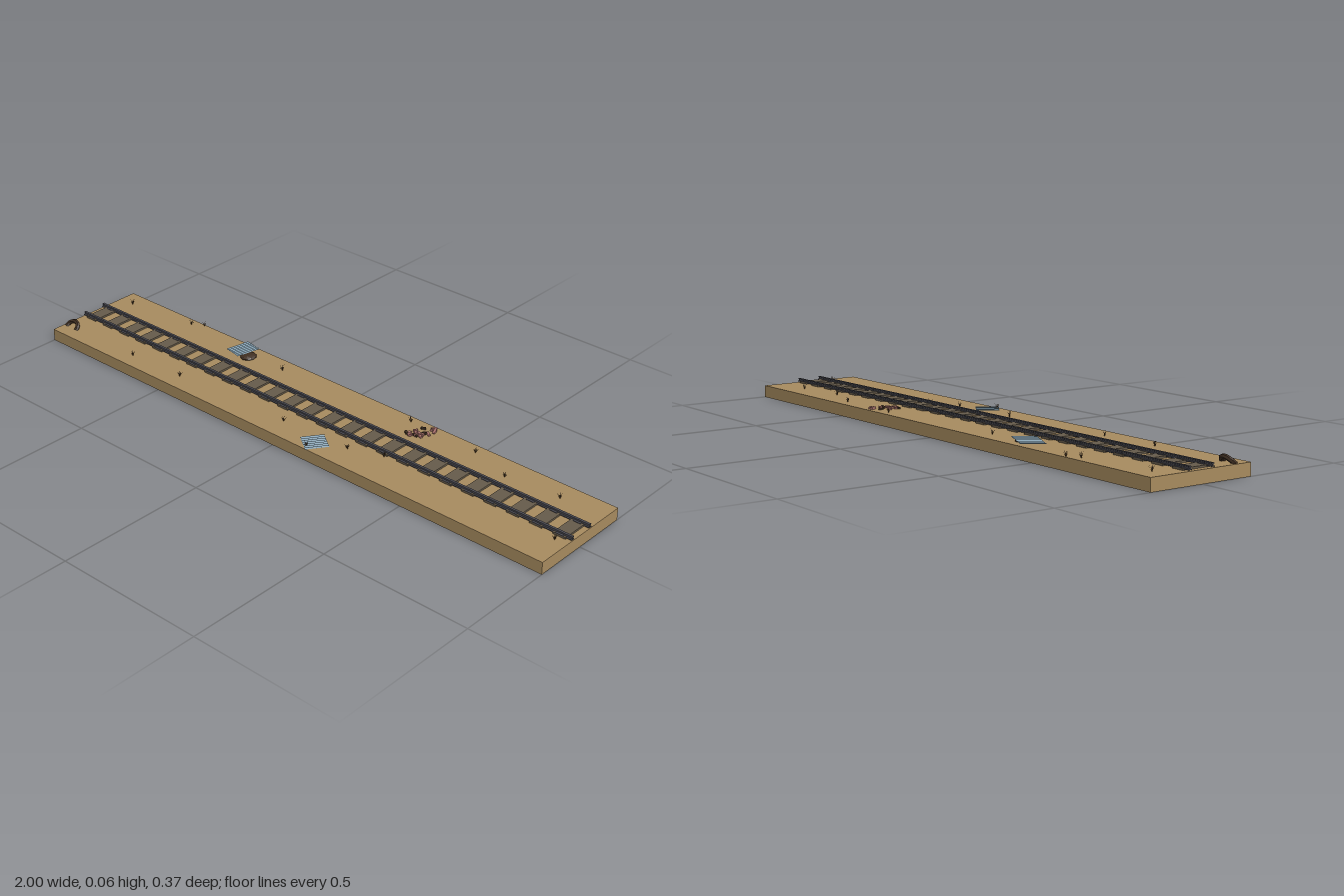
import * as THREE from 'three';
import { mergeGeometries } from 'three/addons/utils/BufferGeometryUtils.js';

const mat = (name, color, extra = {}) => {
  const m = new THREE.MeshStandardMaterial({ color, ...extra });
  m.name = name;
  return m;
};

// Small repeatable number sequence for scatter
function seeded(seed) {
  return () => (seed = (seed * 16807) % 2147483647) / 2147483647;
}

export function createModel() {
  const sand = mat('sand', 0xa68a5e);
  const wood = mat('weathered wood', 0x655a4a);
  const steel = mat('rail steel', 0x4a4a52);
  const tin = mat('corrugated tin', 0x819dae, { side: THREE.DoubleSide });
  const brick = mat('brick', 0xa8716c, { flatShading: true });
  const rust = mat('dark debris', 0x3f2f22, { flatShading: true });
  const straw = mat('dry grass', 0x5c4226, { side: THREE.DoubleSide });

  const group = new THREE.Group();
  const GROUND = 0.04;
  const add = (name, geometry, material, x = 0, y = 0, z = 0) => {
    const mesh = new THREE.Mesh(geometry, material);
    mesh.name = name;
    mesh.position.set(x, y, z);
    group.add(mesh);
    return mesh;
  };

  // Ground slab
  add('ground', new THREE.BoxGeometry(2, GROUND, 0.36), sand, 0, GROUND / 2, -0.003);

  // Sleepers and the small plates holding the rails
  const tie = new THREE.BoxGeometry(0.043, 0.008, 0.1);
  const plate = new THREE.BoxGeometry(0.026, 0.002, 0.018);
  for (let i = 0; i < 25; i++) {
    const x = -0.96 + i * 0.08;
    add('sleeper', tie, wood, x, 0.042, -0.004);
    for (const z of [0.037, -0.045]) add('railPlate', plate, steel, x, 0.0465, z);
  }

  // Rails: foot, web and head
  const profile = new THREE.Shape([
    [-0.006, 0], [0.006, 0], [0.006, 0.002], [0.002, 0.003], [0.002, 0.007], [0.004, 0.008],
    [0.004, 0.011], [-0.004, 0.011], [-0.004, 0.008], [-0.002, 0.007], [-0.002, 0.003], [-0.006, 0.002],
  ].map(([x, y]) => new THREE.Vector2(x, y)));
  const rail = new THREE.ExtrudeGeometry(profile, { depth: 2, bevelEnabled: false });
  rail.translate(0, 0, -1).rotateY(Math.PI / 2);
  for (const z of [0.037, -0.045]) add('rail', rail, steel, 0, 0.043, z);

  // Corrugated sheets
  const sheet = (size) => {
    const g = new THREE.PlaneGeometry(size, size, 28, 1).rotateX(-Math.PI / 2);
    const p = g.attributes.position;
    for (let i = 0; i < p.count; i++) {
      p.setY(i, 0.0016 * Math.sin((p.getX(i) / size + 0.5) * Math.PI * 14));
    }
    g.computeVertexNormals();
    return g;
  };
  const leaning = add('leaningSheet', sheet(0.08), tin, -0.425, 0.05, -0.135);
  leaning.rotation.set(0.06, -0.3, 0.12, 'YXZ');
  const flat = add('flatSheet', sheet(0.074), tin, 0.13, 0.0425, 0.13);
  flat.rotation.y = -0.62;

  // Lumpy stone beside the leaning sheet
  const stone = new THREE.IcosahedronGeometry(0.026, 1).scale(1, 0.42, 1.1);
  add('stone', stone, rust, -0.388, 0.041, -0.122);

  // Bent piece of half-buried debris
  const bend = new THREE.CatmullRomCurve3([
    [-0.024, -0.002, 0.01], [-0.021, 0.008, -0.002], [-0.006, 0.016, -0.007],
    [0.01, 0.016, -0.007], [0.021, 0.008, 0], [0.023, -0.002, 0.01],
  ].map((p) => new THREE.Vector3(...p)));
  add('bentDebris', new THREE.TubeGeometry(bend, 10, 0.0075, 6), rust, -0.965, GROUND, 0.12);

  // Scattered bricks, strewn along a diagonal
  const rnd = seeded(71);
  const block = new THREE.BoxGeometry(0.015, 0.006, 0.008);
  for (let i = 0; i < 20; i++) {
    const t = rnd() - 0.5, s = (rnd() - 0.5) * 0.05;
    const b = add('brick', block, i % 5 ? brick : rust,
      0.33 + t * 0.05 + s * 0.8, 0.042 + rnd() * 0.003, -0.128 - t * 0.075 + s * 0.5);
    b.rotation.set((rnd() - 0.5) * 0.5, rnd() * Math.PI, (rnd() - 0.5) * 0.5);
  }

  // Dry grass tufts: a fan of narrow leaning blades
  const blades = [];
  for (let i = 0; i < 9; i++) {
    const h = 0.013 + rnd() * 0.007;
    const blade = new THREE.BufferGeometry();
    blade.setAttribute('position', new THREE.Float32BufferAttribute(
      [-0.0014, 0, 0, 0.0014, 0, 0, 0, h, 0.005 + rnd() * 0.007], 3));
    blade.computeVertexNormals();
    blades.push(blade.rotateY(i * 0.7 + rnd() * 0.3));
  }
  const tuft = mergeGeometries(blades);
  const spots = [
    [-0.94, -0.125], [-0.685, -0.155], [-0.645, -0.177], [-0.245, -0.13], [0.265, -0.157],
    [0.52, -0.147], [0.665, -0.098], [0.85, -0.113], [0.96, 0.066], [-0.67, 0.125],
    [-0.46, 0.118], [-0.025, 0.1], [0.225, 0.09], [0.335, 0.052], [0.125, 0.163],
  ];
  spots.forEach(([x, z], i) => {
    add('grassTuft', tuft, straw, x, GROUND, z).rotation.y = i * 1.3;
  });

  return group;
}
